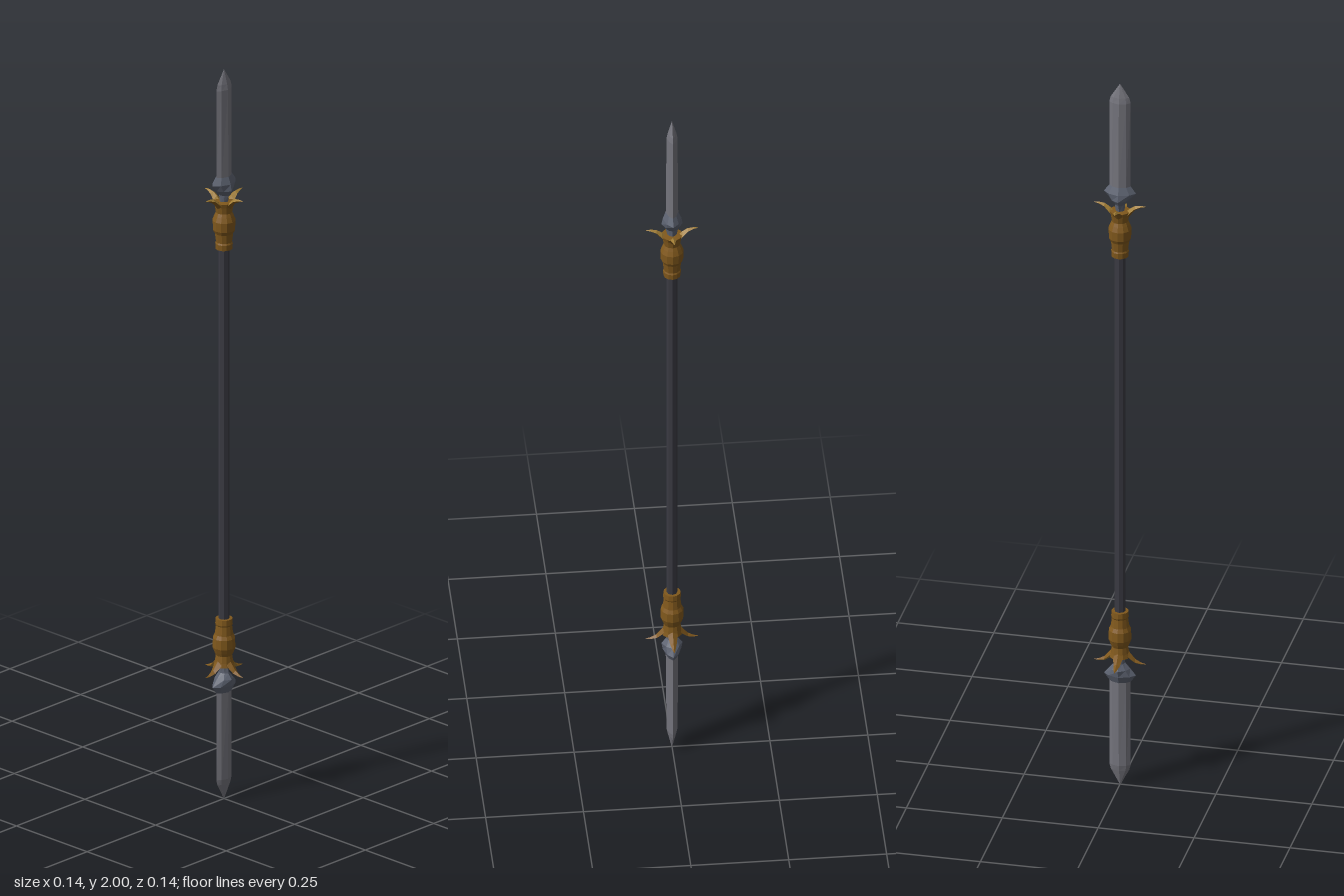
import * as THREE from 'three';

const material = (name, color, side = THREE.FrontSide) => {
  const m = new THREE.MeshStandardMaterial({ color, side });
  m.name = name;
  return m;
};

// Skin between cross-section loops; "sides" picks which strips to build.
function loft(rings, sides) {
  const pos = [];
  const n = rings[0].length;
  for (let i = 0; i < rings.length - 1; i++) {
    for (const j of sides) {
      const k = (j + 1) % n;
      const [a, b, c, d] = [rings[i][j], rings[i][k], rings[i + 1][k], rings[i + 1][j]];
      pos.push(...a, ...b, ...c, ...a, ...c, ...d);
    }
  }
  const g = new THREE.BufferGeometry();
  g.setAttribute('position', new THREE.Float32BufferAttribute(pos, 3));
  g.computeVertexNormals();
  return g;
}

function flat(geometry) {
  const g = geometry.toNonIndexed();
  g.computeVertexNormals();
  return g;
}

function addMesh(parent, name, geometry, mat) {
  const m = new THREE.Mesh(geometry, mat);
  m.name = name;
  parent.add(m);
  return m;
}

export function createModel() {
  const model = new THREE.Group();
  model.name = 'doubleSpear';
  const steel = material('steel', 0x74747c);
  const darkSteel = material('dark steel', 0x5c6270);
  const shaftMat = material('dark shaft', 0x3a3a42);
  const bronze = material('bronze', 0x80581c);
  const gold = material('gold', 0xa07c34);

  // Ridged blade section: w is half width, d is half depth
  const section = ([y, w, d]) => [
    [0, y, d], [w * 0.65, y, d * 0.6], [w, y, 0], [w * 0.65, y, -d * 0.6],
    [0, y, -d], [-w * 0.65, y, -d * 0.6], [-w, y, 0], [-w * 0.65, y, d * 0.6],
  ];
  const allSides = [0, 1, 2, 3, 4, 5, 6, 7];

  // One spear end, measured upward from the middle of the shaft
  function spearEnd(name, tip) {
    const end = new THREE.Group();
    end.name = name;

    // Blade with pointed tip
    addMesh(end, 'blade', loft([
      [0.707, 0.028, 0.016], [0.945, 0.028, 0.014], [0.96, 0.024, 0.011], [tip, 0.0005, 0.0005],
    ].map(section), allSides), steel);

    // Flared blade root with side points
    addMesh(end, 'bladeRoot', loft([
      [0.635, 0.012, 0.012], [0.655, 0.013, 0.016], [0.67, 0.027, 0.027],
      [0.688, 0.042, 0.024], [0.707, 0.028, 0.016],
    ].map(section), allSides), darkSteel);

    // Turned collar
    const profile = [
      [0.013, 0.507], [0.022, 0.507], [0.023, 0.522], [0.021, 0.526], [0.024, 0.55],
      [0.029, 0.56], [0.03, 0.585], [0.025, 0.598], [0.021, 0.607], [0.024, 0.625],
      [0.027, 0.636], [0.0, 0.638],
    ].map(([x, y]) => new THREE.Vector2(x, y));
    addMesh(end, 'collar', flat(new THREE.LatheGeometry(profile, 12)), bronze);

    // Four outward-curving spikes: radius, height, half width, half thickness
    const rings = [
      [0.012, 0.618, 0.013, 0.012], [0.026, 0.634, 0.012, 0.01],
      [0.04, 0.647, 0.008, 0.006], [0.055, 0.652, 0.004, 0.003], [0.068, 0.653, 0.0004, 0.0004],
    ].map(([r, y, w, t]) => [[r, y + t, 0], [r, y, w], [r, y - t, 0], [r, y, -w]]);
    for (let i = 0; i < 4; i++) {
      const spike = new THREE.Group();
      spike.name = 'spike';
      spike.rotation.y = i * Math.PI / 2;
      addMesh(spike, 'spikeInnerFace', loft(rings, [0, 3]), gold);
      addMesh(spike, 'spikeOuterFace', loft(rings, [1, 2]), bronze);
      end.add(spike);
    }
    end.position.y = 1.003;
    model.add(end);
    return end;
  }

  spearEnd('upperEnd', 0.997);
  spearEnd('lowerEnd', 1.003).rotation.z = Math.PI;

  // Shaft
  const shaft = addMesh(model, 'shaft', flat(new THREE.CylinderGeometry(0.014, 0.014, 1.04, 8)), shaftMat);
  shaft.position.y = 1.003;

  return model;
}
